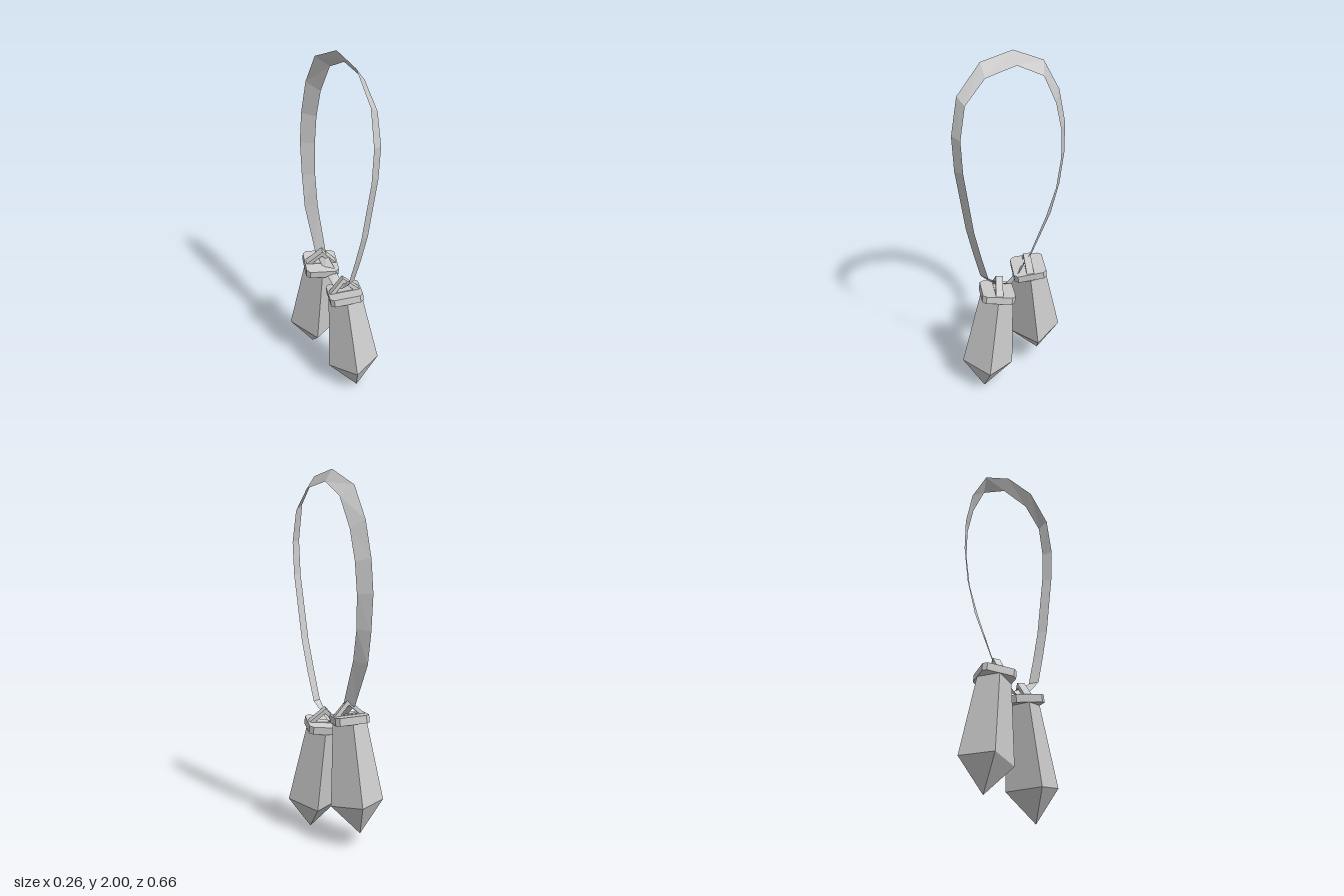
import * as THREE from 'three';

const grey = new THREE.MeshStandardMaterial({ color: 0xcccccc, flatShading: true });
grey.name = 'plainGrey';
const strapGrey = grey.clone();
strapGrey.name = 'plainGreyStrap';
strapGrey.side = THREE.DoubleSide;

const YAW_CRYSTAL = 0.17;
const YAW_CAP = -0.58;

function part(name, geometry, parent) {
  const mesh = new THREE.Mesh(geometry, grey);
  mesh.name = name;
  parent.add(mesh);
  return mesh;
}

// Square with clipped corners
function clippedSquare(half, clip) {
  const a = half - clip;
  return new THREE.Shape([
    [-a, -half], [a, -half], [half, -a], [half, a],
    [a, half], [-a, half], [-half, a], [-half, -a],
  ].map(([x, y]) => new THREE.Vector2(x, y)));
}

// Crystal, cap plate and triangular eyelet, with the origin at the tip
function makePendant(name, x, y, z, tilt) {
  const pendant = new THREE.Group();
  pendant.name = name;
  pendant.position.set(x, y, z);
  pendant.rotation.x = tilt;

  // Four-sided crystal tapering upward from a wide belt
  const profile = [[0, 0], [0.144, 0.17], [0.092, 0.615], [0, 0.615]]
    .map(([r, h]) => new THREE.Vector2(r, h));
  const crystal = part('crystal',
    new THREE.LatheGeometry(profile, 4, Math.PI / 4).toNonIndexed(), pendant);
  crystal.rotation.y = YAW_CRYSTAL;

  // Cap plate
  const plate = new THREE.ExtrudeGeometry(clippedSquare(0.092, 0.02),
    { depth: 0.042, bevelEnabled: false });
  plate.rotateX(-Math.PI / 2);
  plate.translate(0, 0.608, 0);
  part('capPlate', plate, pendant).rotation.y = YAW_CAP;

  // Eyelet: triangular frame standing on the plate
  const tri = (w, b, h) => [[-w, b], [w, b], [0, h]].map(([u, v]) => new THREE.Vector2(u, v));
  const frame = new THREE.Shape(tri(0.088, 0, 0.088));
  frame.holes.push(new THREE.Path(tri(0.05, 0.008, 0.058).reverse()));
  const eyelet = new THREE.ExtrudeGeometry(frame, { depth: 0.04, bevelEnabled: false });
  eyelet.translate(0, 0.646, -0.02);
  part('eyelet', eyelet, pendant).rotation.y = YAW_CAP;
  return pendant;
}

// Closed flat ribbon: each row holds its outer and inner edge point
function makeStrap() {
  const rows = [
    [0.015, 2.0, 0, 0.055, 1.935, 0.01],
    [0.04, 1.915, -0.18, 0.095, 1.86, -0.13],
    [0.06, 1.745, -0.275, 0.105, 1.7, -0.21],
    [0.065, 1.555, -0.32, 0.11, 1.54, -0.25],
    [0.06, 1.38, -0.33, 0.105, 1.38, -0.26],
    [0.05, 1.19, -0.31, 0.09, 1.2, -0.245],
    [0.03, 1.01, -0.27, 0.065, 1.03, -0.2],
    [0.0, 0.77, -0.155, 0.03, 0.78, -0.1],
    [-0.015, 0.69, -0.06, 0.03, 0.72, -0.04],
    [-0.025, 0.635, 0.02, 0.025, 0.66, 0.02],
    [-0.05, 0.68, 0.11, 0.0, 0.7, 0.1],
    [-0.06, 0.745, 0.17, -0.003, 0.745, 0.16],
    [-0.06, 0.905, 0.215, -0.002, 0.905, 0.207],
    [-0.06, 1.08, 0.26, -0.002, 1.08, 0.252],
    [-0.06, 1.44, 0.32, -0.002, 1.44, 0.31],
    [-0.06, 1.63, 0.33, -0.002, 1.62, 0.32],
    [-0.053, 1.825, 0.295, 0.0, 1.79, 0.288],
    [-0.025, 1.97, 0.17, 0.022, 1.905, 0.18],
  ];
  const index = [];
  rows.forEach((_, i) => {
    const a = 2 * i;
    const b = 2 * ((i + 1) % rows.length);
    index.push(a, a + 1, b, b, a + 1, b + 1);
  });
  const geometry = new THREE.BufferGeometry();
  geometry.setAttribute('position', new THREE.Float32BufferAttribute(rows.flat(), 3));
  geometry.setIndex(index);
  const flat = geometry.toNonIndexed();
  flat.computeVertexNormals();
  const strap = new THREE.Mesh(flat, strapGrey);
  strap.name = 'strap';
  return strap;
}

export function createModel() {
  const model = new THREE.Group();
  model.name = 'crystalPendants';
  model.add(
    makeStrap(),
    makePendant('frontPendant', -0.01, 0, 0.2, -0.17),
    makePendant('backPendant', 0.01, 0.075, -0.205, 0.13),
  );
  return model;
}
